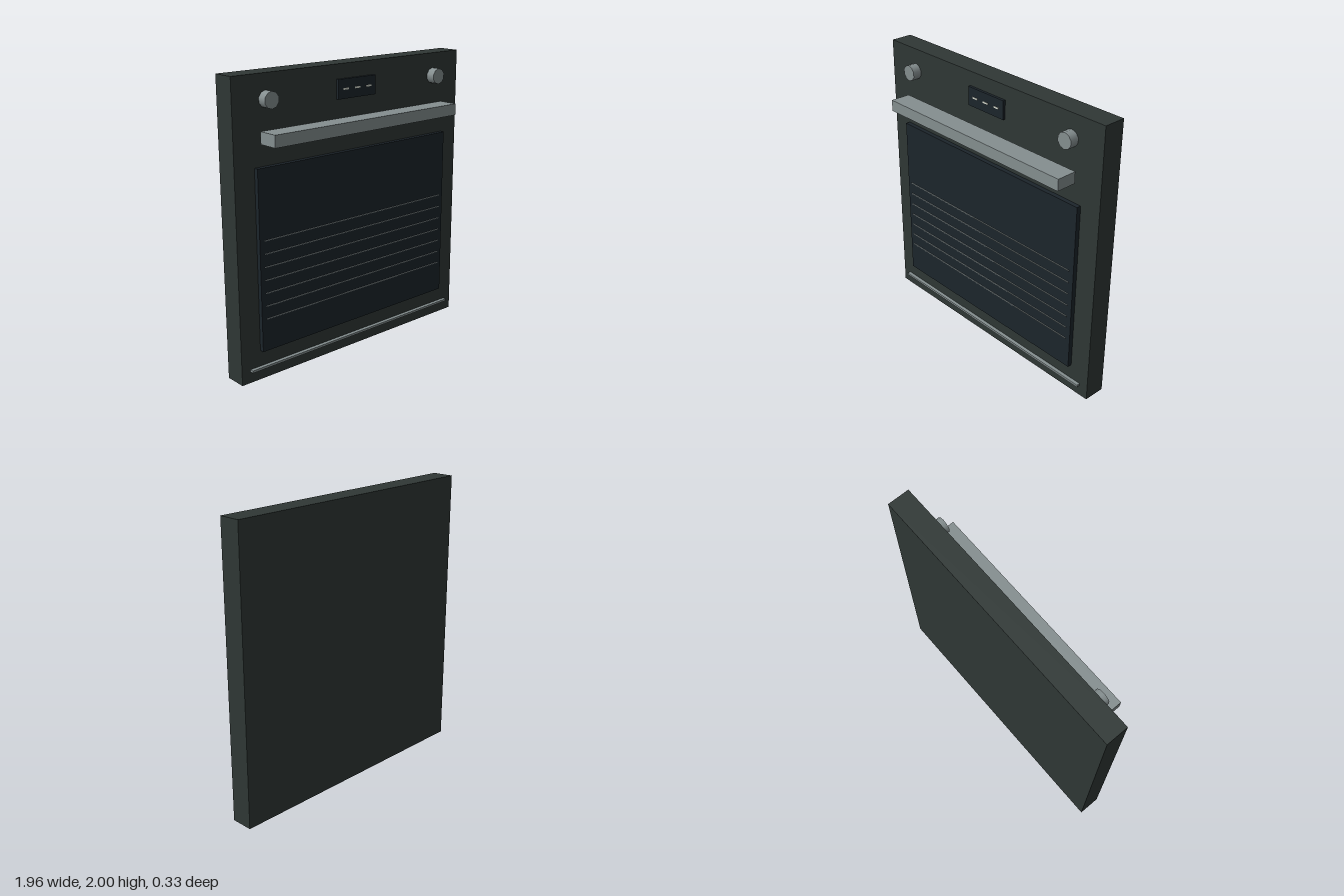
import * as THREE from 'three';

const paint = (color) => new THREE.MeshStandardMaterial({ color });

export function createModel() {
  const oven = new THREE.Group();
  oven.name = 'builtInOven';

  const enamel = paint(0x2f3735);
  const glass = paint(0x1c252b);
  const metal = paint(0x858f90);
  const light = paint(0xd8dcd0);

  const FRONT = -0.008; // z of the casing's front face

  // Box centred on x, given by its y and z limits
  function box(name, material, width, [y0, y1], [z0, z1], x = 0) {
    const mesh = new THREE.Mesh(new THREE.BoxGeometry(width, y1 - y0, z1 - z0), material);
    mesh.name = name;
    mesh.position.set(x, (y0 + y1) / 2, (z0 + z1) / 2);
    oven.add(mesh);
  }

  box('casing', enamel, 1.96, [0, 2], [-0.163, FRONT]);
  box('doorWindow', glass, 1.66, [0.204, 1.424], [FRONT, 0.024]);
  box('doorHandle', metal, 1.59, [1.572, 1.652], [0.018, 0.163]);
  box('bottomTrim', metal, 1.826, [0.078, 0.094], [FRONT, 0.018]);

  // Rack lines across the window
  for (let i = 0; i < 7; i++) {
    const y = 0.426 + i * 0.0882;
    box('rackLine', metal, 1.59, [y - 0.0025, y + 0.0025], [0.02, 0.03]);
  }

  // Display with three lit dashes
  box('display', glass, 0.326, [1.772, 1.902], [FRONT, 0.011]);
  for (const x of [-0.1, 0, 0.1]) {
    box('displayDash', light, 0.045, [1.831, 1.842], [0.005, 0.014], x);
  }

  // Control knobs
  const knobGeometry = new THREE.CylinderGeometry(0.055, 0.055, 0.063, 10);
  knobGeometry.rotateX(Math.PI / 2);
  for (const side of [-1, 1]) {
    const knob = new THREE.Mesh(knobGeometry, metal);
    knob.name = side > 0 ? 'leftKnob' : 'rightKnob';
    knob.position.set(side * 0.729, 1.84, FRONT + 0.0315);
    oven.add(knob);
  }

  return oven;
}
